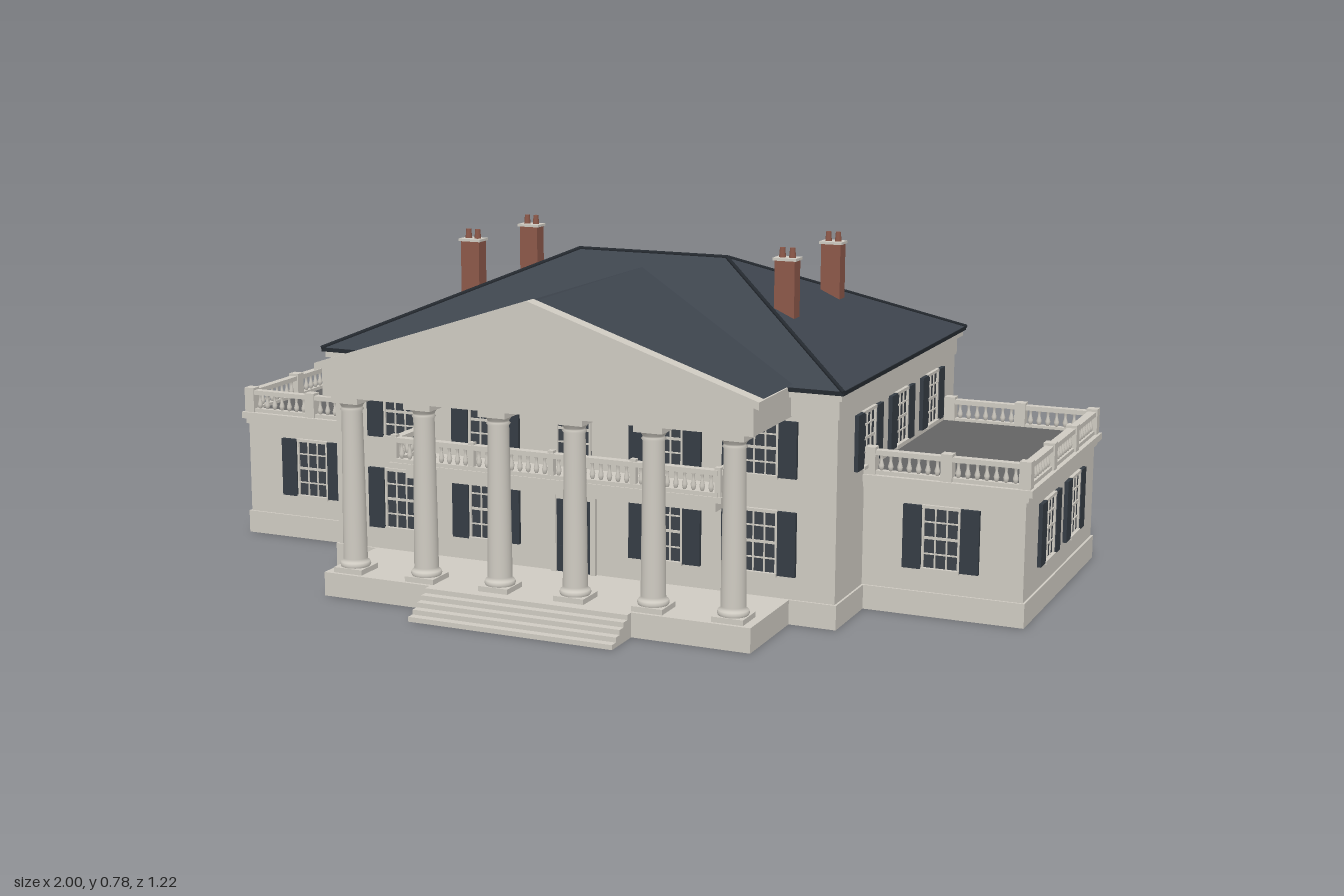
import * as THREE from 'three';

const flat = (name, color, extra = {}) => {
  const m = new THREE.MeshStandardMaterial({ color, ...extra });
  m.name = name;
  return m;
};

export function createModel() {
  const stone = flat('stone', 0xcfcbc2);
  const slate = flat('slate roof', 0x3d444d, { side: THREE.DoubleSide });
  const trim = flat('dark roof trim', 0x252a30);
  const paint = flat('shutter paint', 0x353c44);
  const glass = flat('window glass', 0x3c4249);
  const deck = flat('grey deck', 0x646464);
  const brick = flat('brick', 0x8c5849);

  const root = new THREE.Group();
  root.name = 'mansion';

  const add = (parent, name, geo, mat, x = 0, y = 0, z = 0) => {
    const m = new THREE.Mesh(geo, mat);
    m.name = name;
    m.position.set(x, y, z);
    parent.add(m);
    return m;
  };
  const group = (parent, name, x = 0, y = 0, z = 0, ry = 0) => {
    const g = new THREE.Group();
    g.name = name;
    g.position.set(x, y, z);
    g.rotation.y = ry;
    parent.add(g);
    return g;
  };
  // box given by its limits on each axis
  const box = (parent, name, mat, x0, x1, y0, y1, z0, z1) =>
    add(parent, name, new THREE.BoxGeometry(Math.abs(x1 - x0), y1 - y0, z1 - z0), mat,
      (x0 + x1) / 2, (y0 + y1) / 2, (z0 + z1) / 2);
  // hollow rectangular band of thickness t
  const ring = (parent, name, mat, x0, x1, z0, z1, y0, y1, t) => {
    const rect = (P, a, b, c, d) => {
      const s = new P();
      s.moveTo(a, -d); s.lineTo(b, -d); s.lineTo(b, -c); s.lineTo(a, -c); s.closePath();
      return s;
    };
    const s = rect(THREE.Shape, x0, x1, z0, z1);
    s.holes.push(rect(THREE.Path, x0 + t, x1 - t, z0 + t, z1 - t));
    const g = new THREE.ExtrudeGeometry(s, { depth: y1 - y0, bevelEnabled: false });
    g.rotateX(-Math.PI / 2);
    return add(parent, name, g, mat, 0, y0, 0);
  };
  // round bar between two points
  const bar = (parent, name, mat, a, b, r) => {
    const p = new THREE.Vector3(...a), q = new THREE.Vector3(...b);
    const d = q.clone().sub(p);
    const m = add(parent, name, new THREE.CylinderGeometry(r, r, d.length(), 6), mat);
    m.position.copy(p.add(q).multiplyScalar(0.5));
    m.quaternion.setFromUnitVectors(new THREE.Vector3(0, 1, 0), d.normalize());
  };
  // flat facets, each a loop of 3 or 4 corners
  const facets = (parent, name, mat, faces) => {
    const pos = faces.flatMap(f => (f.length === 4 ? [0, 1, 2, 0, 2, 3] : [0, 1, 2]).flatMap(i => f[i]));
    const g = new THREE.BufferGeometry();
    g.setAttribute('position', new THREE.Float32BufferAttribute(pos, 3));
    g.computeVertexNormals();
    return add(parent, name, g, mat);
  };
  const lathe = (pts, n) => new THREE.LatheGeometry(pts.map(p => new THREE.Vector2(...p)), n);

  // sash window on a wall, with optional shutters
  const W = 0.043;
  const window_ = (x, z, ry, y0, y1, shutters = true) => {
    const g = group(root, 'window', x, 0, z, ry);
    box(g, 'pane', glass, -W, W, y0, y1, -0.019, 0.002);
    for (const s of [-1, 1]) {
      box(g, 'frameSide', stone, s * (W - 0.005), s * W, y0, y1, -0.021, 0.007);
      box(g, 'glazingBar', stone, s * 0.013 - 0.0016, s * 0.013 + 0.0016, y0, y1, -0.021, 0.005);
      if (shutters) box(g, 'shutter', paint, s * (W + 0.001), s * (W + 0.043), y0, y1, 0, 0.009);
    }
    const h = y1 - y0;
    box(g, 'frameTop', stone, -W, W, y1 - 0.005, y1 + 0.002, -0.021, 0.008);
    box(g, 'sill', stone, -W, W, y0 - 0.004, y0 + 0.004, -0.021, 0.011);
    for (let i = 1; i < 4; i++) {
      const t = i === 2 ? 0.003 : 0.0016;
      box(g, 'crossBar', stone, -W, W, y0 + h * i / 4 - t, y0 + h * i / 4 + t, -0.021, 0.005);
    }
  };

  // balustrade from one floor point to another
  const balusterProfile = [[0.003, 0], [0.005, 0.1], [0.0065, 0.3], [0.003, 0.65], [0.0035, 0.85], [0.005, 1]];
  const balustrade = (x0, z0, x1, z1, y, h, bays, pw = 0.013) => {
    const len = Math.hypot(x1 - x0, z1 - z0);
    const g = group(root, 'balustrade', x0, y, z0, Math.atan2(-(z1 - z0), x1 - x0));
    box(g, 'bottomRail', stone, 0, len, 0, 0.009, -0.008, 0.008);
    box(g, 'topRail', stone, 0, len, h - 0.011, h, -0.01, 0.01);
    const geo = lathe(balusterProfile.map(([r, t]) => [r, 0.009 + t * (h - 0.02)]), 8);
    const bay = len / bays, n = Math.round((bay - 2 * pw) / 0.021);
    for (let b = 0; b <= bays; b++) {
      box(g, 'post', stone, b * bay - pw, b * bay + pw, 0, h + 0.006, -pw, pw);
      if (b < bays) for (let i = 0; i < n; i++)
        add(g, 'baluster', geo, stone, b * bay + pw + (bay - 2 * pw) * (i + 0.5) / n, 0, 0);
    }
  };

  // main block, open underneath
  ring(root, 'mainPlinth', stone, -0.625, 0.625, -0.585, 0.285, 0, 0.055, 0.02);
  ring(root, 'mainWalls', stone, -0.62, 0.62, -0.58, 0.28, 0.055, 0.51, 0.015);
  ring(root, 'frieze', stone, -0.624, 0.624, -0.584, 0.284, 0.462, 0.505, 0.019);
  ring(root, 'cornice', stone, -0.634, 0.634, -0.598, 0.298, 0.505, 0.52, 0.03);
  ring(root, 'eaveEdge', trim, -0.64, 0.64, -0.605, 0.305, 0.519, 0.528, 0.036);

  // hipped roof with ridge and hip caps
  const corner = (sx, z) => [sx * 0.64, 0.527, z];
  const A = corner(-1, 0.305), B = corner(1, 0.305), C = corner(1, -0.605), D = corner(-1, -0.605);
  const L = [-0.19, 0.73, -0.15], R = [0.19, 0.73, -0.15];
  facets(root, 'hipRoof', slate, [[A, B, R, L], [B, C, R], [C, D, L, R], [D, A, L]]);
  for (const [p, q] of [[A, L], [D, L], [B, R], [C, R], [L, R]]) bar(root, 'ridgeCap', trim, p, q, 0.005);

  // windows of the main block
  const low = [0.107, 0.25], high = [0.325, 0.45];
  for (let i = -2; i <= 2; i++) {
    const x = i * 0.2225;
    window_(x, 0.28, 0, ...high, i !== 0);
    if (i) window_(x, 0.28, 0, ...low);
    window_(x, -0.58, Math.PI, ...low);
    window_(x, -0.58, Math.PI, ...high);
  }
  for (const s of [-1, 1]) for (const z of [0.083, -0.15, -0.385])
    window_(s * 0.62, z, s * Math.PI / 2, ...high);

  // front door with transom
  const door = group(root, 'frontDoor', 0, 0, 0.28);
  box(door, 'doorLeaf', paint, -0.043, 0.043, 0.055, 0.225, -0.019, 0.004);
  box(door, 'transom', glass, -0.043, 0.043, 0.232, 0.262, -0.019, 0.003);
  box(door, 'lintel', stone, -0.06, 0.06, 0.262, 0.278, 0, 0.012);
  box(door, 'transomBar', stone, -0.046, 0.046, 0.225, 0.234, -0.02, 0.008);
  for (const s of [-1, 1]) {
    box(door, 'jamb', stone, s * 0.043, s * 0.055, 0.055, 0.262, 0, 0.01);
    box(door, 'transomGlazing', stone, s * 0.014 - 0.0015, s * 0.014 + 0.0015, 0.232, 0.262, -0.02, 0.006);
    for (const [y0, y1] of [[0.07, 0.115], [0.125, 0.21]])
      box(door, 'doorPanel', paint, s * 0.006, s * 0.035, y0, y1, 0.004, 0.007);
  }

  // portico floor and steps
  box(root, 'porticoFloor', stone, -0.517, 0.517, 0, 0.055, 0.28, 0.512);
  for (let i = 0; i < 5; i++)
    box(root, 'step', stone, -0.245, 0.245, 0, 0.011 * (i + 1), 0.505, 0.61 - 0.0195 * i);

  // six columns
  const shaft = lathe([[0.033, 0.067], [0.035, 0.072], [0.033, 0.078], [0.028, 0.08], [0.0275, 0.086], [0.0265, 0.2],
    [0.0235, 0.425], [0.027, 0.429], [0.0235, 0.433], [0.0245, 0.437], [0.031, 0.446]], 24);
  for (const x of [0.092, 0.277, 0.461]) for (const s of [-1, 1]) {
    const c = group(root, 'column', s * x, 0, 0.468);
    add(c, 'shaft', shaft, stone);
    box(c, 'plinth', stone, -0.036, 0.036, 0.055, 0.067, -0.036, 0.036);
    box(c, 'abacus', stone, -0.033, 0.033, 0.446, 0.462, -0.033, 0.033);
  }

  // pediment body, raking cornice and gable roof
  const prism = (name, pts, z0, z1) => add(root, name, new THREE.ExtrudeGeometry(
    new THREE.Shape(pts.map(p => new THREE.Vector2(...p))), { depth: z1 - z0, bevelEnabled: false }), stone, 0, 0, z0);
  prism('pediment', [[-0.515, 0.46], [0.515, 0.46], [0.515, 0.527], [0, 0.696], [-0.515, 0.527]], 0.27, 0.503);
  prism('rakingCornice', [[-0.53, 0.518], [0, 0.686], [0.53, 0.518], [0.53, 0.535], [0, 0.709], [-0.53, 0.535]], 0.477, 0.511);
  for (const s of [-1, 1])
    facets(root, 'gableRoof', slate, [
      s > 0 ? [[0, 0.703, 0.478], [0.521, 0.533, 0.478], [0.521, 0.533, 0.28], [0, 0.703, -0.1]]
        : [[0, 0.703, -0.1], [-0.521, 0.533, 0.28], [-0.521, 0.533, 0.478], [0, 0.703, 0.478]]]);

  // balcony behind the columns
  box(root, 'balconyFloor', stone, -0.405, 0.405, 0.285, 0.298, 0.28, 0.405);
  box(root, 'balconySupport', stone, -0.38, 0.38, 0.257, 0.285, 0.28, 0.373);
  balustrade(-0.395, 0.394, 0.395, 0.394, 0.298, 0.058, 4, 0.007);
  for (const s of [-1, 1]) balustrade(s * 0.395, 0.285, s * 0.395, 0.394, 0.298, 0.058, 1, 0.007);

  // side wings with roof decks
  for (const s of [-1, 1]) {
    const wing = (name, mat, x, y0, y1, z0, z1) => box(root, name, mat, s * 0.61, s * x, y0, y1, z0, z1);
    wing('wingPlinth', [stone, stone, stone, deck, stone, stone], 0.99, 0, 0.055, -0.53, 0.105);
    wing('wingWalls', stone, 0.985, 0.055, 0.278, -0.525, 0.1);
    wing('wingMoulding', stone, 0.991, 0.278, 0.291, -0.53, 0.104);
    wing('wingCornice', stone, 1, 0.291, 0.307, -0.536, 0.109);
    wing('wingDeck', deck, 0.966, 0.307, 0.311, -0.502, 0.075);
    balustrade(s * 0.981, 0.09, s * 0.981, -0.517, 0.307, 0.055, 3);
    for (const z of [0.09, -0.517]) balustrade(s * 0.981, z, s * 0.633, z, 0.307, 0.055, 2);
    for (const z of [-0.098, -0.327]) window_(s * 0.985, z, s * Math.PI / 2, ...low);
    window_(s * 0.8, 0.1, 0, ...low);
    window_(s * 0.8, -0.525, Math.PI, ...low);
  }

  // chimneys with twin pots
  for (const x of [-0.398, 0.398]) for (const z of [0.004, -0.303]) {
    const c = group(root, 'chimney', x, 0, z);
    box(c, 'stack', brick, -0.024, 0.024, 0.62, 0.755, -0.018, 0.018);
    box(c, 'cap', stone, -0.028, 0.028, 0.755, 0.761, -0.022, 0.022);
    for (const s of [-1, 1])
      add(c, 'pot', new THREE.CylinderGeometry(0.006, 0.008, 0.022, 12), brick, s * 0.012, 0.772, 0);
  }
  return root;
}
